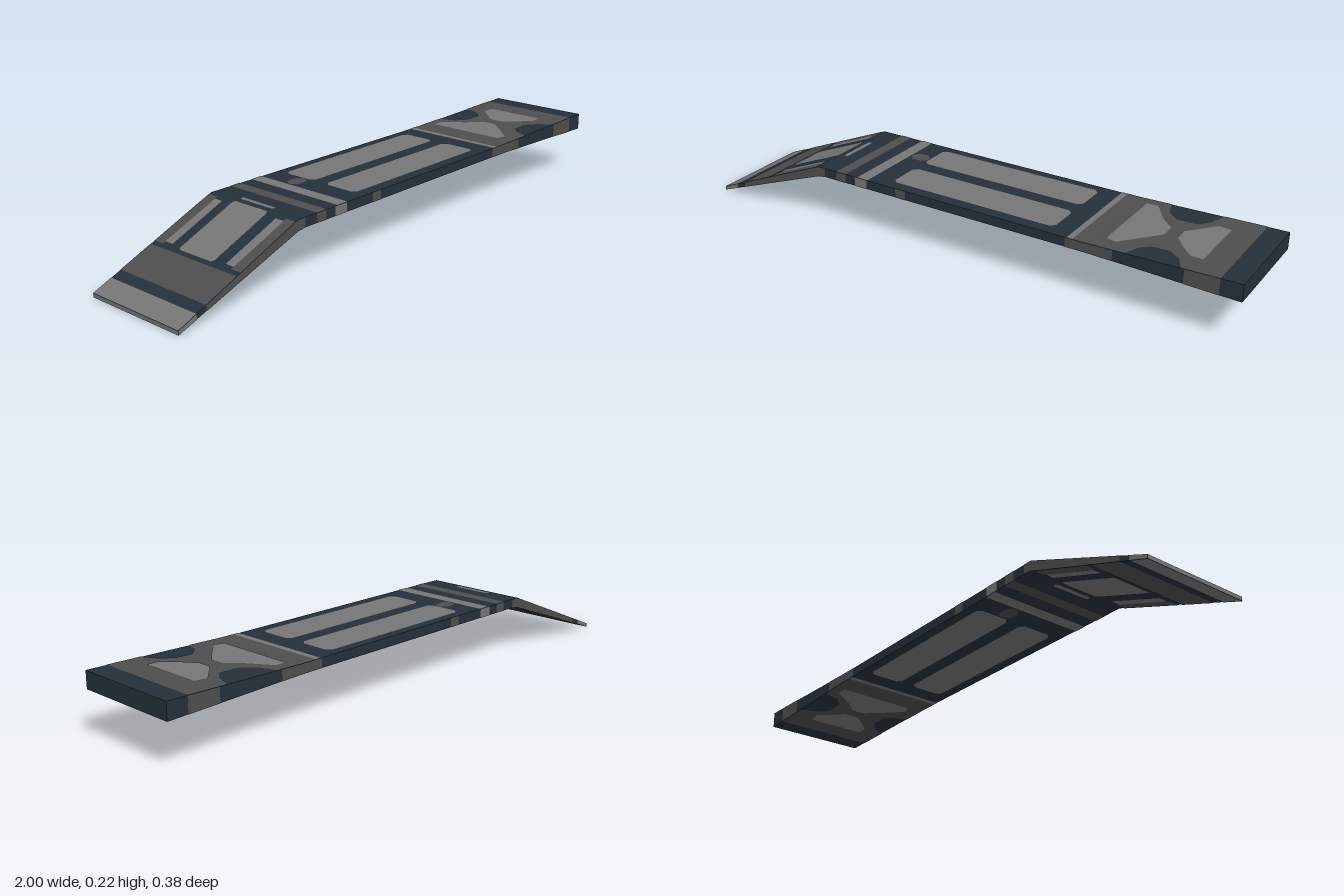
import * as THREE from 'three';

const W = 0.19;      // half width
const LIFT = 0.0012; // paint thickness above the body
const topLine = [[-1, 0.014], [-0.54, 0.205], [0.5, 0.205], [1, 0.217]];
const bottomLine = [[-1, 0.001], [-0.53, 0.173], [0.5, 0.173], [1, 0.159]];

// Height of a profile line at x
function heightAt(line, x) {
  let i = 0;
  while (i < line.length - 2 && x > line[i + 1][0]) i++;
  const [x0, y0] = line[i], [x1, y1] = line[i + 1];
  return y0 + (y1 - y0) * (x - x0) / (x1 - x0);
}

export function createModel() {
  const group = new THREE.Group();
  const material = (name, color) => {
    const m = new THREE.MeshStandardMaterial({ color });
    m.name = name;
    return m;
  };
  const navy = material('dark navy', 0x25303a);
  const mid = material('mid grey', 0x4e4e4e);
  const light = material('light grey', 0x767676);

  const add = (name, geometry, mat) => {
    const mesh = new THREE.Mesh(geometry, mat);
    mesh.name = name;
    group.add(mesh);
  };
  const shapeOf = (points) => new THREE.Shape(points.map(([x, y]) => new THREE.Vector2(x, y)));

  // Slab with a sloping ramp, extruded across its width
  const body = new THREE.ExtrudeGeometry(shapeOf([...bottomLine, ...[...topLine].reverse()]),
    { depth: 2 * W, bevelEnabled: false });
  body.translate(0, 0, -W);
  add('body', body, navy);

  // Painted outline in (x, z), laid on both the top and the underside
  function paint(name, points, mat) {
    for (const up of [true, false]) {
      const g = new THREE.ShapeGeometry(shapeOf(points.map(([x, z]) => [x, -z])));
      const p = g.attributes.position;
      for (let i = 0; i < p.count; i++) {
        const x = p.getX(i), z = -p.getY(i);
        const y = up ? heightAt(topLine, x) + LIFT : heightAt(bottomLine, x) - LIFT;
        p.setXYZ(i, x, y, z);
      }
      if (!up) g.index.array.reverse();
      g.computeVertexNormals();
      add(name + (up ? 'Top' : 'Underside'), g, mat);
    }
  }
  const rect = (x0, x1, z0, z1) => [[x0, z0], [x1, z0], [x1, z1], [x0, z1]];
  const rounded = (x0, x1, z0, z1, c = 0.015) => [
    [x0 + c, z0], [x1 - c, z0], [x1, z0 + c], [x1, z1 - c],
    [x1 - c, z1], [x0 + c, z1], [x0, z1 - c], [x0, z0 + c]];

  // Ramp paint
  paint('rampTip', rect(-1, -0.935, -W, W), light);
  paint('rampBand', rect(-0.9, -0.785, -W, W), mid);
  paint('rampPanel', rounded(-0.77, -0.545, -0.08, 0.072, 0.008), light);
  paint('rampPanelEnd', rounded(-0.525, -0.51, -0.075, 0.067, 0.004), light);
  for (const s of [-1, 1]) {
    paint('rampSideRim', rect(-0.77, -0.55, s * 0.15, s * W), mid);
    paint('rampSidePanel', rect(-0.76, -0.56, s * 0.118, s * 0.152), light);
  }

  // Deck paint
  paint('thinStripe', rect(-0.46, -0.42, -W, W), mid);
  paint('wideStripe', rect(-0.37, -0.327, -W, W), light);
  paint('smallPatch', rounded(-0.32, -0.255, -0.09, -0.04), mid);
  paint('deckPanelBack', rounded(-0.25, 0.368, -0.157, -0.03), light);
  paint('deckPanelFront', rounded(-0.25, 0.368, 0.022, 0.15), light);
  paint('endStripe', rect(0.435, 0.455, -W, W), light);

  // Flared end: grey field with dark notches left open at both edges
  paint('endFieldStart', rect(0.455, 0.5, -W, W), mid);
  paint('endField', [
    [0.5, -W], [0.61, -W], [0.63, -0.13], [0.67, -0.095], [0.74, -0.095], [0.77, -0.13], [0.79, -W],
    [0.93, -W], [0.93, W],
    [0.81, W], [0.78, 0.14], [0.74, 0.11], [0.68, 0.11], [0.65, 0.14], [0.63, W], [0.5, W]], mid);

  // Bow-tie panels, raised a hair above the grey field
  const bowTie = [
    [[0.54, -0.155], [0.58, -0.155], [0.63, -0.08], [0.68, -0.03], [0.68, 0.02], [0.63, 0.08],
      [0.575, 0.14], [0.54, 0.13]],
    [[0.845, -0.11], [0.8, -0.115], [0.76, -0.07], [0.725, -0.03], [0.725, 0.02], [0.76, 0.065],
      [0.805, 0.11], [0.845, 0.11]]];
  for (const points of bowTie) {
    const first = group.children.length;
    paint('bowTiePanel', points, light);
    group.children[first].position.y = 0.0012;
    group.children[first + 1].position.y = -0.0012;
  }

  // Paint on the two long edges: start, end, colour
  const edges = [
    [-1, -0.935, light], [-0.9, -0.54, mid], [-0.54, -0.51, mid], [-0.46, -0.42, mid],
    [-0.38, -0.33, light], [-0.21, -0.17, mid], [0.43, 0.5, mid], [0.5, 0.59, mid], [0.82, 0.93, mid]];
  for (const [x0, x1, mat] of edges) {
    for (const s of [-1, 1]) {
      const g = new THREE.ShapeGeometry(shapeOf([
        [s * x0, heightAt(bottomLine, x0)], [s * x1, heightAt(bottomLine, x1)],
        [s * x1, heightAt(topLine, x1)], [s * x0, heightAt(topLine, x0)]]));
      if (s < 0) g.rotateY(Math.PI);
      g.translate(0, 0, s * (W + LIFT));
      add(s > 0 ? 'edgePaintFront' : 'edgePaintBack', g, mat);
    }
  }

  // Narrow tip face
  const tip = new THREE.PlaneGeometry(0.013, 2 * W);
  tip.rotateZ(Math.PI / 2);
  tip.rotateX(Math.PI / 2);
  tip.rotateZ(Math.PI / 2);
  const p = tip.attributes.position;
  const corners = [[0.001, -W], [0.001, W], [0.014, -W], [0.014, W]];
  corners.forEach(([y, z], i) => p.setXYZ(i, -1 - LIFT / 2, y, z));
  tip.setIndex([0, 1, 2, 1, 3, 2]);
  tip.computeVertexNormals();
  add('tipFace', tip, light);

  return group;
}
